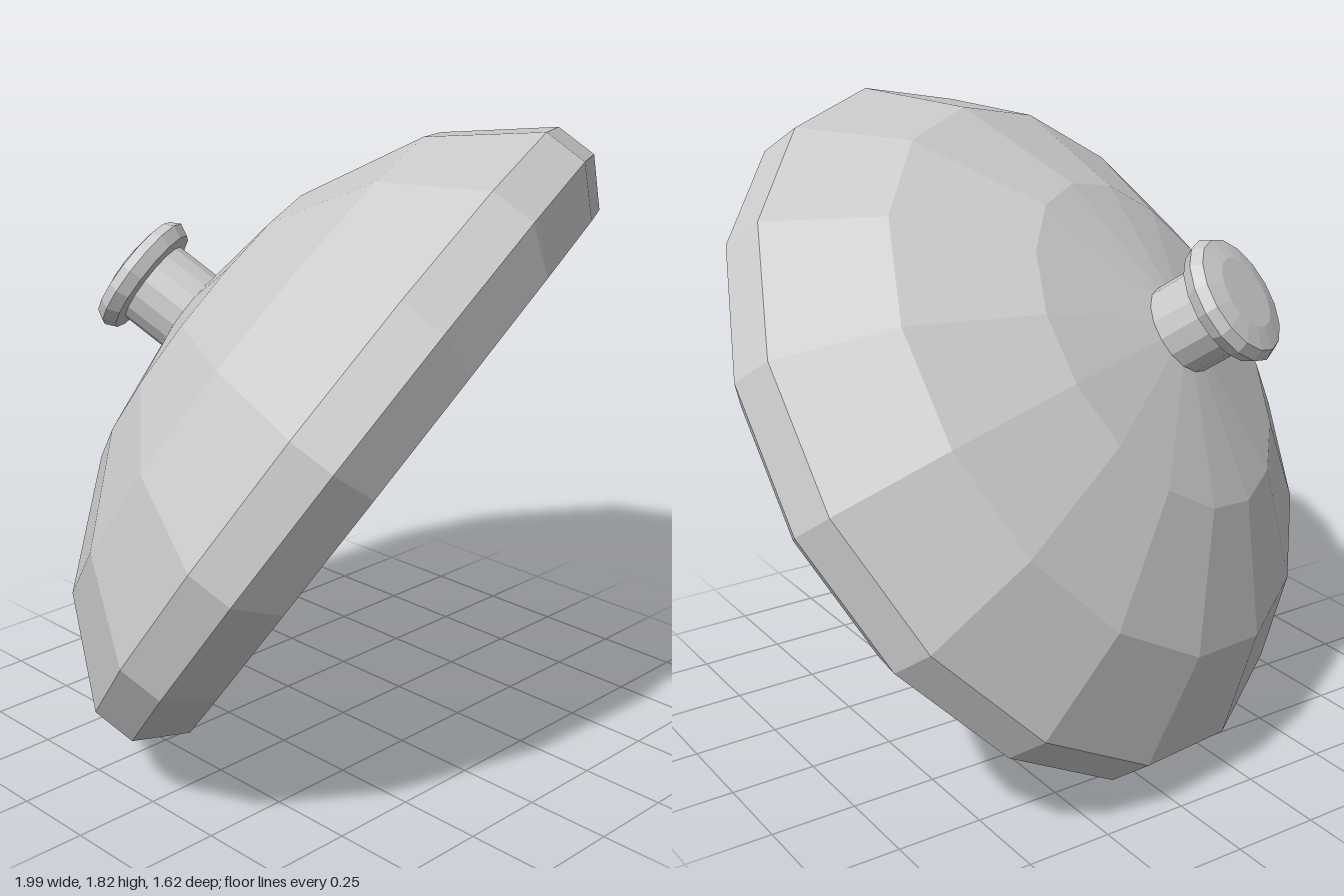
import * as THREE from 'three';

const SIDES = 16;

// Faceted solid of revolution from [radius, height] pairs, listed bottom to top
function turned(name, profile) {
  const points = profile.map(([r, h]) => new THREE.Vector2(r, h));
  const material = new THREE.MeshStandardMaterial({ color: 0xcccccc, flatShading: true });
  const mesh = new THREE.Mesh(new THREE.LatheGeometry(points, SIDES), material);
  mesh.name = name;
  return mesh;
}

export function createModel() {
  const lid = new THREE.Group();
  lid.name = 'lid';

  // Closed flat underside, flared lip and upright rim band
  lid.add(turned('rim', [[0, 0], [0.955, 0], [1.07, 0.11], [1.07, 0.238]]));

  // Dome rising to the foot of the knob
  lid.add(turned('dome', [[1.07, 0.238], [0.855, 0.495], [0.503, 0.68], [0.13, 0.755]]));

  // Short neck and bevelled cap
  lid.add(turned('knobNeck', [[0.13, 0.75], [0.13, 0.895]]));
  lid.add(turned('knobCap', [
    [0.13, 0.895], [0.168, 0.9], [0.185, 0.935], [0.168, 0.965], [0.105, 0.98], [0, 0.98],
  ]));

  // Tilt the lid so it rests on the edge of its rim
  const up = new THREE.Vector3(-0.4, 0.575, -0.714).normalize();
  const side = new THREE.Vector3().crossVectors(up, new THREE.Vector3(0.23, 0.817, 0.529)).normalize();
  const forward = new THREE.Vector3().crossVectors(side, up);
  lid.quaternion.setFromRotationMatrix(new THREE.Matrix4().makeBasis(side, up, forward));
  lid.position.set(0.07, 0.815, 0.135);

  const model = new THREE.Group();
  model.name = 'tiltedLid';
  model.add(lid);

  // Centre on x and z and stand on the ground
  model.updateMatrixWorld(true);
  const box = new THREE.Box3().setFromObject(model, true);
  const centre = box.getCenter(new THREE.Vector3());
  lid.position.sub(new THREE.Vector3(centre.x, box.min.y, centre.z));
  return model;
}
